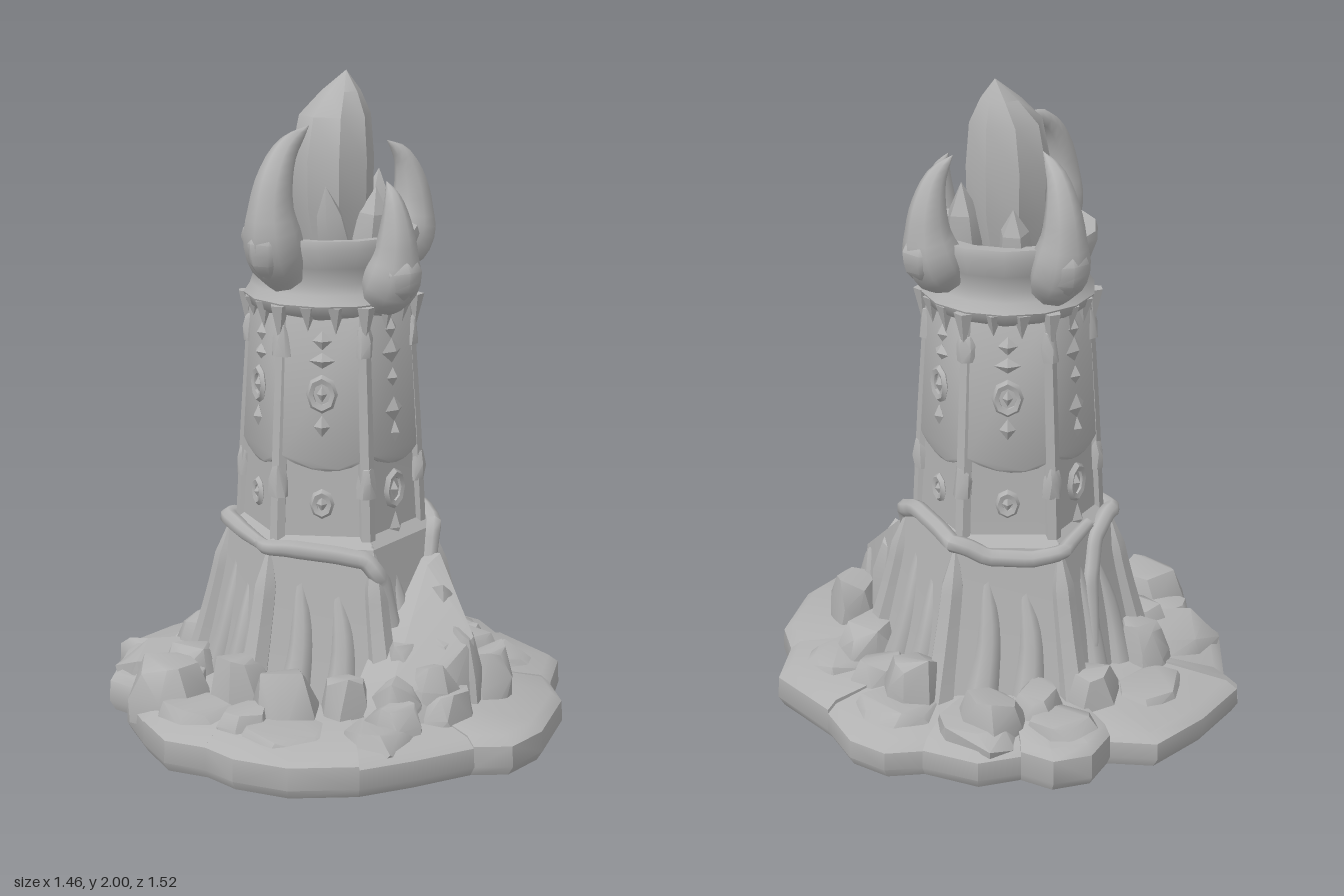
import * as THREE from 'three';
import { toCreasedNormals } from 'three/addons/utils/BufferGeometryUtils.js';
import { ConvexGeometry } from 'three/addons/geometries/ConvexGeometry.js';

const stone = new THREE.MeshStandardMaterial({ color: 0xb2b2b2 });
stone.name = 'grey stone';
const V = (x, y, z) => new THREE.Vector3(x, y, z);
const CX = 0.015, CZ = -0.035; // tower axis

// Seeded random numbers
let seed = 7;
const rnd = () => ((seed = (seed * 16807) % 2147483647) / 2147483647);
const jit = (a) => (rnd() - 0.5) * 2 * a;

function add(parent, name, geo, crease = 0.7) {
  const mesh = new THREE.Mesh(toCreasedNormals(geo, crease), stone);
  mesh.name = name;
  parent.add(mesh);
  return mesh;
}

// Linear lookup in a list of values, t from 0 to 1
function lerpList(list, t) {
  const f = t * (list.length - 1), i = Math.min(Math.floor(f), list.length - 2);
  return list[i] + (list[i + 1] - list[i]) * (f - i);
}

// Tube along points whose radius follows a list
function taper(points, radii, rings = 12, sides = 7) {
  const curve = new THREE.CatmullRomCurve3(points);
  const geo = new THREE.TubeGeometry(curve, rings, 1, sides);
  const pos = geo.attributes.position, v = V(0, 0, 0);
  for (let i = 0; i <= rings; i++) {
    const c = curve.getPointAt(i / rings), r = lerpList(radii, i / rings);
    for (let j = 0; j <= sides; j++) {
      const k = i * (sides + 1) + j;
      v.fromBufferAttribute(pos, k).sub(c).multiplyScalar(r).add(c);
      pos.setXYZ(k, v.x, v.y, v.z);
    }
  }
  return geo;
}

// Irregular boulder standing between two heights
function rock(x, z, rx, rz, y0, y1, inset = 0.72) {
  const pts = [], turn = rnd() * 6, h = y1 - y0;
  for (const [t, s] of [[0, 1], [0.6, 1], [1, inset]])
    for (let i = 0; i < 7; i++) {
      const a = turn + (i + jit(0.3)) * Math.PI * 2 / 7, k = s * (1 + jit(0.14));
      pts.push(V(x + Math.sin(a) * rx * k, y0 + h * t - (t ? rnd() * h * 0.22 : 0), z + Math.cos(a) * rz * k));
    }
  return new ConvexGeometry(pts);
}

// Hexagonal tower: corner radius by height
const PROFILE = [[0.44, 0.08], [0.395, 0.25], [0.355, 0.42], [0.32, 0.6], [0.282, 0.63],
  [0.268, 0.85], [0.258, 1.05], [0.24, 1.32]];
function cornerRadius(y) {
  const i = Math.max(1, PROFILE.findIndex((p) => y <= p[1]));
  const [r0, y0] = PROFILE[i - 1], [r1, y1] = PROFILE[i];
  return r0 + (r1 - r0) * (y - y0) / (y1 - y0);
}
const apothem = (y) => cornerRadius(y) * 0.866;

// Point on the tower wall at an angle in degrees (0 is the front)
function onWall(deg, y, out = 0) {
  const off = ((deg + 750) % 60) - 30, a = deg * Math.PI / 180;
  const r = apothem(y) / Math.cos(off * Math.PI / 180) + out;
  return V(CX + Math.sin(a) * r, y, CZ + Math.cos(a) * r);
}

function buildBase() {
  const g = new THREE.Group();
  g.name = 'rockyBase';
  const outline = [[-0.17, -0.76], [0.05, -0.75], [0.26, -0.7], [0.32, -0.57], [0.45, -0.58], [0.54, -0.5],
    [0.54, -0.39], [0.64, -0.3], [0.66, -0.12], [0.73, -0.03], [0.72, 0.1], [0.62, 0.25], [0.54, 0.4],
    [0.53, 0.5], [0.35, 0.58], [0.25, 0.68], [0, 0.76], [-0.15, 0.75], [-0.22, 0.66], [-0.4, 0.57],
    [-0.55, 0.48], [-0.68, 0.32], [-0.72, 0.15], [-0.7, 0.03], [-0.73, -0.1], [-0.65, -0.25],
    [-0.55, -0.4], [-0.46, -0.42], [-0.45, -0.56], [-0.3, -0.62], [-0.2, -0.7]];

  // Ring of separate slabs, each a stretch of the outline
  const joints = [0, 3, 6, 8, 11, 14, 18, 20, 23, 25, 27, 30];
  joints.forEach((from, j) => {
    const to = j + 1 < joints.length ? joints[j + 1] : outline.length;
    const pts = [], top = 0.105 + rnd() * 0.025;
    for (let i = from; i <= to; i++) {
      const [x, z] = outline[i % outline.length];
      for (const [s, y] of [[0.975, 0], [1, 0.03], [0.995, top - 0.025], [0.95, top], [0.55, 0.15], [0.5, 0]])
        pts.push(V(x * s, y, z * s));
    }
    add(g, 'groundSlab', new ConvexGeometry(pts));
  });
  add(g, 'groundCore', new THREE.CylinderGeometry(0.46, 0.56, 0.13, 14).translate(0, 0.065, 0));

  // Second tier of flat stones
  for (const [x, z, rx, rz, top] of [[0.02, -0.54, 0.15, 0.11, 0.15], [-0.28, -0.47, 0.16, 0.13, 0.18],
    [0.38, -0.43, 0.11, 0.11, 0.17], [0.5, -0.22, 0.13, 0.14, 0.17], [0.53, 0.05, 0.12, 0.14, 0.16],
    [0.36, 0.36, 0.13, 0.13, 0.16], [-0.36, 0.42, 0.14, 0.11, 0.16], [-0.52, 0.18, 0.13, 0.15, 0.16],
    [-0.55, -0.12, 0.12, 0.13, 0.17], [-0.42, -0.33, 0.13, 0.12, 0.18]])
    add(g, 'flatStone', rock(x, z, rx, rz, 0.05, top, 0.82));

  // Boulders piled against the tower
  for (const [x, z, rx, rz, top] of [[-0.5, -0.26, 0.12, 0.13, 0.25], [0.47, -0.25, 0.1, 0.11, 0.23],
    [0.45, 0.04, 0.1, 0.1, 0.28], [-0.13, -0.44, 0.09, 0.1, 0.27], [0.18, -0.43, 0.1, 0.08, 0.23],
    [-0.43, 0.12, 0.1, 0.1, 0.28], [-0.32, 0.26, 0.08, 0.08, 0.27], [-0.3, 0.43, 0.09, 0.08, 0.21],
    [0.28, 0.32, 0.12, 0.1, 0.24], [-0.41, -0.06, 0.1, 0.1, 0.3], [0.34, -0.33, 0.09, 0.08, 0.22],
    [-0.3, -0.34, 0.1, 0.09, 0.23], [-0.13, 0.5, 0.1, 0.08, 0.22], [-0.54, 0.06, 0.09, 0.08, 0.2],
    [0.4, 0.2, 0.09, 0.09, 0.2], [0.1, 0.5, 0.09, 0.08, 0.29]])
    add(g, 'boulder', rock(x, z, rx, rz, 0.06, top));

  // Broken ramp climbing the front
  const ramp = [[-0.34, 0.1, 0.38], [-0.3, 0.19, 0.4], [-0.2, 0.1, 0.52], [-0.16, 0.24, 0.48], [0, 0.1, 0.53],
    [0, 0.34, 0.51], [0.13, 0.53, 0.3], [0.06, 0.51, 0.3], [0.15, 0.1, 0.38],
    [0.14, 0.3, 0.33], [-0.1, 0.34, 0.28], [-0.3, 0.2, 0.28], [0.15, 0.1, 0.2], [0.13, 0.52, 0.2]];
  add(g, 'frontRamp', new ConvexGeometry(ramp.map((p) => V(...p))), 0.5);
  for (const [x, z, r, top] of [[-0.24, 0.4, 0.08, 0.26], [-0.14, 0.45, 0.08, 0.3], [-0.05, 0.42, 0.08, 0.37],
    [0.0, 0.48, 0.06, 0.37], [0.06, 0.36, 0.07, 0.48], [-0.14, 0.34, 0.07, 0.35], [-0.02, 0.31, 0.07, 0.44]])
    add(g, 'rampStone', rock(x, z, r, r, 0.12, top, 0.6));
  return g;
}

function buildTower() {
  const g = new THREE.Group();
  g.name = 'tower';
  const wall = new THREE.LatheGeometry(PROFILE.map((p) => new THREE.Vector2(...p)), 6, Math.PI / 6);
  add(g, 'hexagonalWall', wall.translate(CX, 0, CZ), 0.3);

  for (let i = 0; i < 6; i++) {
    const deg = i * 60, side = new THREE.Group();
    side.name = 'wallSide';
    side.position.set(CX, 0, CZ);
    side.rotation.y = deg * Math.PI / 180;
    g.add(side);

    // Upper plate with a sagging lower edge
    const plate = new THREE.Shape();
    plate.moveTo(-0.122, 0.02);
    plate.quadraticCurveTo(0.02, -0.06, 0.122, 0.01);
    plate.lineTo(0.108, 0.45).lineTo(-0.108, 0.45);
    const plateMesh = add(side, 'upperPlate', new THREE.ExtrudeGeometry(plate, { depth: 0.014,
      bevelSize: 0.006, bevelThickness: 0.005, bevelSegments: 1, curveSegments: 6 }));
    plateMesh.position.set(0, 0.86, apothem(0.86) - 0.006);
    plateMesh.rotation.x = -0.053;

    // Carved marks: pointed ones on front and back, rings on the other sides
    const pointed = i % 3 === 0;
    const rings = pointed ? [[0.75, 0.04]] : [[1.07, 0.036], [0.73, 0.026]];
    const points = pointed ? [[1.25, 0.03, 0.035], [1.18, 0.05, 0.04], [1.1, 0.03, 0.03], [1.0, 0.045, 0.04],
      [0.93, 0.02, 0.035], [0.63, 0.03, 0.05]] : [[1.23, 0.03, 0.03], [1.17, 0.04, 0.025], [0.97, 0.025, 0.035]];
    for (const [y, r] of rings) {
      const z = apothem(y) + (y > 0.86 ? 0.014 : 0.002);
      add(side, 'carvedRing', new THREE.TorusGeometry(r, 0.012, 5, 8).scale(1, 1.25, 1).translate(0, y, z));
      add(side, 'carvedStud', new THREE.OctahedronGeometry(0.016).scale(1, 1.6, 1).translate(0, y, z), 0.2);
    }
    for (const [y, w, h] of points)
      add(side, 'carvedPoint', new THREE.OctahedronGeometry(1).scale(w, h, 0.018)
        .translate(0, y, apothem(y) + (y > 0.86 ? 0.012 : 0.002)), 0.2);

    // Corner rib, jutting corner stones and weathered folds
    const edge = deg + 30;
    add(g, 'cornerButtress', taper([0.08, 0.3, 0.45, 0.62].map((y) => onWall(edge, Math.min(y, 0.6), -0.012).setY(y)),
      [0.055, 0.045, 0.04, 0.036, 0], 12, 6));
    add(g, 'cornerRib', taper([0.6, 0.75, 0.95, 1.3].map((y) => onWall(edge, Math.max(y, 0.63), -0.01).setY(y)),
      [0.026, 0.026, 0.024], 10, 6));
    for (const y of [0.8, 1.23]) {
      const p = onWall(edge, y, -0.006);
      add(g, 'cornerStone', rock(p.x, p.z, 0.03, 0.03, y - 0.05, y + 0.05));
    }
    for (const [d, top] of [[-13, 0.52], [10, 0.48]])
      add(g, 'wallFold', taper([onWall(deg + d, 0.1, -0.02), onWall(deg + d + 3, 0.3, -0.016), onWall(deg + d, top, -0.02)],
        [0.06, 0.045, 0.035, 0.015], 8, 8), 1);
  }

  // Stone roots wrapped around the waist, following the wall round its corners
  const roots = [
    [[-100, 0.6], [-80, 0.6], [-50, 0.585], [-34, 0.57], [-26, 0.5], [-20, 0.36]],
    [[8, 0.36], [20, 0.5], [28, 0.6], [45, 0.64], [75, 0.63], [95, 0.61], [108, 0.575], [135, 0.57], [160, 0.6], [180, 0.62]],
    [[168, 0.25], [174, 0.45], [185, 0.56], [205, 0.61], [235, 0.6], [262, 0.6]]];
  for (const path of roots) {
    const n = path.length * 4, pts = [];
    for (let i = 0; i <= n; i++) {
      const deg = lerpList(path.map((p) => p[0]), i / n), y = lerpList(path.map((p) => p[1]), i / n);
      pts.push(onWall(deg, Math.min(y, 0.6), 0.006).setY(y));
    }
    add(g, 'waistRoot', taper(pts, [0.02, 0.028, 0.028, 0.028, 0.02], 44, 7), 1);
  }
  return g;
}

function buildCrown() {
  const g = new THREE.Group();
  g.name = 'crown';
  g.position.set(CX, 0, CZ);
  const bowl = [[0.22, 1.29], [0.255, 1.31], [0.265, 1.34], [0.245, 1.37], [0.235, 1.4], [0.25, 1.45],
    [0.272, 1.51], [0.265, 1.535], [0.21, 1.53], [0.18, 1.46], [0, 1.45]];
  add(g, 'crownBowl', new THREE.LatheGeometry(bowl.map((p) => new THREE.Vector2(...p)), 14, Math.PI / 12), 0.8);

  // Fangs hanging below the rim
  for (let i = 0; i < 18; i++) {
    const a = i * Math.PI / 9 + Math.PI / 6, big = i % 3 === 0;
    const h = big ? 0.12 : 0.06 + rnd() * 0.03, r = big ? 0.257 : 0.24;
    add(g, 'hangingFang', new THREE.ConeGeometry(0.03, h, 5).rotateX(Math.PI)
      .translate(Math.sin(a) * r, 1.335 - h / 2, Math.cos(a) * r), 0.4);
  }

  // Four curved horns: angle, drop, height scale, inward curl
  for (const [deg, dy, s, curl] of [[-90, 0, 1, 1], [-13, -0.07, 0.82, 0.25], [68, 0, 0.84, 0.5], [153, -0.02, 0.93, 0.6]]) {
    const horn = new THREE.Group();
    horn.name = 'horn';
    horn.rotation.y = deg * Math.PI / 180;
    const at = (r, y) => V(0, 1.41 + dy + (y - 1.41) * s, 0.3 + (r - 0.3) * (r < 0.3 && y > 1.6 ? curl : 1));
    add(horn, 'hornBlade', taper([at(0.22, 1.41), at(0.275, 1.5), at(0.295, 1.6), at(0.28, 1.7), at(0.225, 1.79),
      at(0.105, 1.855)], [0.06, 0.088, 0.088, 0.068, 0.056, 0.042, 0.026, 0], 16, 8), 0.9);
    add(horn, 'hornSpur', taper([at(0.29, 1.6), at(0.31, 1.51), at(0.3, 1.395)], [0.03, 0.072, 0.055, 0], 8, 7), 0.9);
    g.add(horn);
  }

  // Great crystal with smaller shards around it
  const crystal = new THREE.LatheGeometry([[0.08, 1.42], [0.125, 1.6], [0.128, 1.74], [0.11, 1.87], [0.06, 1.94], [0, 2]]
    .map((p) => new THREE.Vector2(...p)), 8);
  const pos = crystal.attributes.position;
  for (let i = 0; i < pos.count; i++) {
    const lean = Math.max(0, pos.getY(i) - 1.84) / 0.16;
    pos.setX(i, pos.getX(i) + 0.045 + lean * 0.05);
    pos.setZ(i, pos.getZ(i) - 0.025 + lean * 0.015);
  }
  add(g, 'greatCrystal', crystal, 0.6);
  for (const [x, z, tx, ty, tz, r] of [[-0.06, 0.08, -0.12, 1.68, 0.07, 0.05], [0.14, 0.06, 0.17, 1.7, 0.06, 0.06],
    [0.06, 0.1, 0.07, 1.66, 0.12, 0.06], [-0.06, -0.1, -0.09, 1.62, -0.12, 0.05],
    [0.13, -0.1, 0.16, 1.64, -0.11, 0.055]])
    add(g, 'smallCrystal', taper([V(x, 1.42, z), V((x + tx) / 2, 1.54, (z + tz) / 2), V(tx, ty, tz)],
      [r * 0.8, r, r * 0.8, 0], 3, 5), 0.3);
  return g;
}

export function createModel() {
  const model = new THREE.Group();
  model.name = 'stoneTower';
  model.add(buildBase(), buildTower(), buildCrown());
  return model;
}
